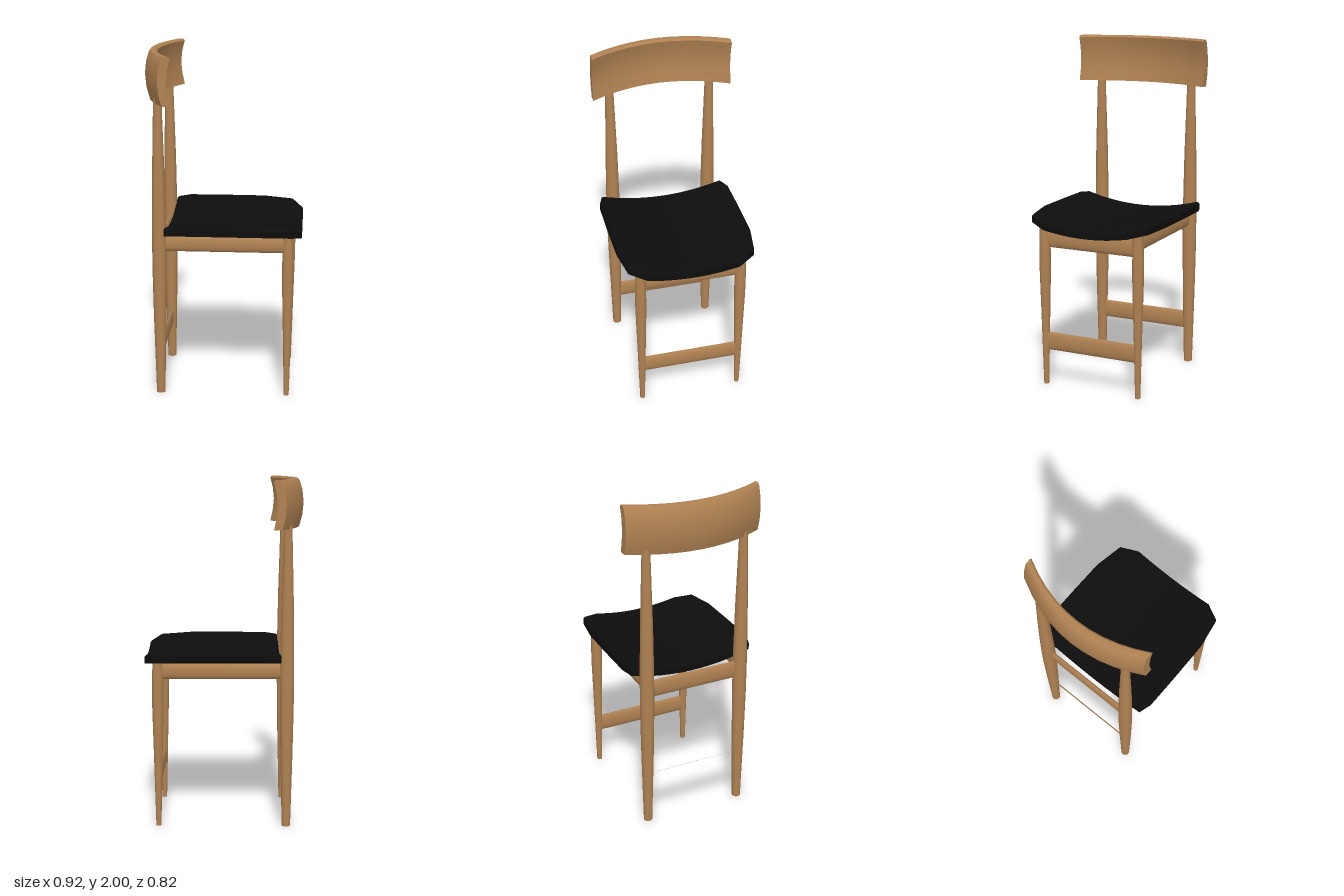
import * as THREE from 'three';
import { toCreasedNormals } from 'three/addons/utils/BufferGeometryUtils.js';

const wood = new THREE.MeshStandardMaterial({ color: 0xb08252 });
wood.name = 'oiled wood';
const leather = new THREE.MeshStandardMaterial({ color: 0x0d0d0d });
leather.name = 'black leather';

function part(name, geometry, material, x = 0, y = 0, z = 0) {
  const mesh = new THREE.Mesh(geometry, material);
  mesh.name = name;
  mesh.position.set(x, y, z);
  return mesh;
}

// Turned leg from [radius, height] pairs, closed at both ends
function legGeometry(profile) {
  const top = profile[profile.length - 1][1];
  const points = [[0, 0], ...profile, [0, top]].map(([r, y]) => new THREE.Vector2(r, y));
  return toCreasedNormals(new THREE.LatheGeometry(points, 14), 0.7);
}

// Slim oval bar lying along z; arc = PI keeps only the half facing the chair front
function railGeometry(length, height, thickness, arc = Math.PI * 2) {
  const geo = new THREE.CylinderGeometry(0.5, 0.5, length, 14, 1, true, 0, arc);
  geo.scale(thickness, 1, height);
  geo.rotateX(Math.PI / 2);
  return geo;
}

// Saddle seat: a box whose vertices follow the outline and dip in the middle
function seatGeometry() {
  const outline = [[-0.325, 0.375], [-0.25, 0.4], [-0.02, 0.402], [0.22, 0.4], [0.4, 0.37], [0.457, 0.27]];
  const heights = [0, 0.038, 0.05];
  const n = outline.length - 1;
  const geo = new THREE.BoxGeometry(1, 1, 1, n, 2, 12);
  const p = geo.attributes.position;
  for (let i = 0; i < p.count; i++) {
    const [sx, half] = outline[Math.round((p.getX(i) + 0.5) * n)];
    const level = Math.round((p.getY(i) + 0.5) * 2);
    const inset = level === 2 ? 0.975 : 1;
    const z = p.getZ(i) * 2 * half;
    const x = 0.066 + (sx - 0.066) * inset;
    p.setXYZ(i, x, 0.924 + heights[level] + 0.06 * (z / 0.4) ** 2, z * inset);
  }
  return toCreasedNormals(geo, 0.6);
}

// Backrest: one bent cross-section swept along a shallow curve
function backrestGeometry() {
  const section = [
    [-0.004, 1.725], [-0.018, 1.79], [-0.025, 1.86], [-0.018, 1.93], [-0.002, 1.99], [-0.012, 2],
    [-0.04, 2], [-0.052, 1.985], [-0.068, 1.93], [-0.075, 1.86], [-0.068, 1.79], [-0.05, 1.725],
  ];
  const count = section.length, steps = 10, position = [], index = [];
  for (let s = 0; s <= steps; s++) {
    const z = -0.408 + (0.816 * s) / steps;
    const bend = 0.112 * (z / 0.408) ** 2;
    for (const [dx, y] of section) position.push(-0.385 + dx + bend, y, z);
  }
  for (let s = 0; s < steps; s++) {
    for (let k = 0; k < count; k++) {
      const a = s * count + k, b = s * count + ((k + 1) % count);
      index.push(a, b, a + count, b, b + count, a + count);
    }
  }
  // End caps
  const contour = section.map(([x, y]) => new THREE.Vector2(x, y));
  const last = steps * count;
  for (const [a, b, c] of THREE.ShapeUtils.triangulateShape(contour, [])) {
    index.push(last + a, last + b, last + c, c, b, a);
  }
  const geo = new THREE.BufferGeometry();
  geo.setAttribute('position', new THREE.Float32BufferAttribute(position, 3));
  geo.setIndex(index);
  return toCreasedNormals(geo, 0.6);
}

export function createModel() {
  const chair = new THREE.Group();
  chair.name = 'chair';
  const backX = -0.36, frontX = 0.38, legZ = 0.298;

  // Legs and side rails, mirrored across z
  const backLeg = legGeometry([[0.025, 0], [0.036, 0.45], [0.041, 0.75], [0.041, 0.98], [0.036, 1.3], [0.025, 1.7], [0.022, 1.78]]);
  const frontLeg = legGeometry([[0.015, 0], [0.025, 0.4], [0.033, 0.7], [0.033, 0.82], [0.03, 0.96]]);
  const sideRail = railGeometry(0.7, 0.092, 0.032);
  sideRail.rotateY(Math.PI / 2);
  for (const side of [-1, 1]) {
    chair.add(part('backLeg', backLeg, wood, backX, 0, side * legZ));
    chair.add(part('frontLeg', frontLeg, wood, frontX, 0, side * legZ));
    chair.add(part('sideRail', sideRail, wood, 0.01, 0.914, side * legZ));
  }

  // Cross rails under the seat and low stretchers
  const crossRail = railGeometry(0.56, 0.108, 0.03);
  chair.add(part('frontRail', crossRail, wood, frontX, 0.888, 0));
  chair.add(part('backRail', crossRail, wood, backX, 0.888, 0));
  chair.add(part('frontStretcher', railGeometry(0.57, 0.108, 0.03), wood, frontX, 0.266, 0));
  chair.add(part('backStretcher', railGeometry(0.57, 0.108, 0.03, Math.PI), wood, backX, 0.266, 0));

  chair.add(part('seat', seatGeometry(), leather));
  chair.add(part('backrest', backrestGeometry(), wood));
  return chair;
}
